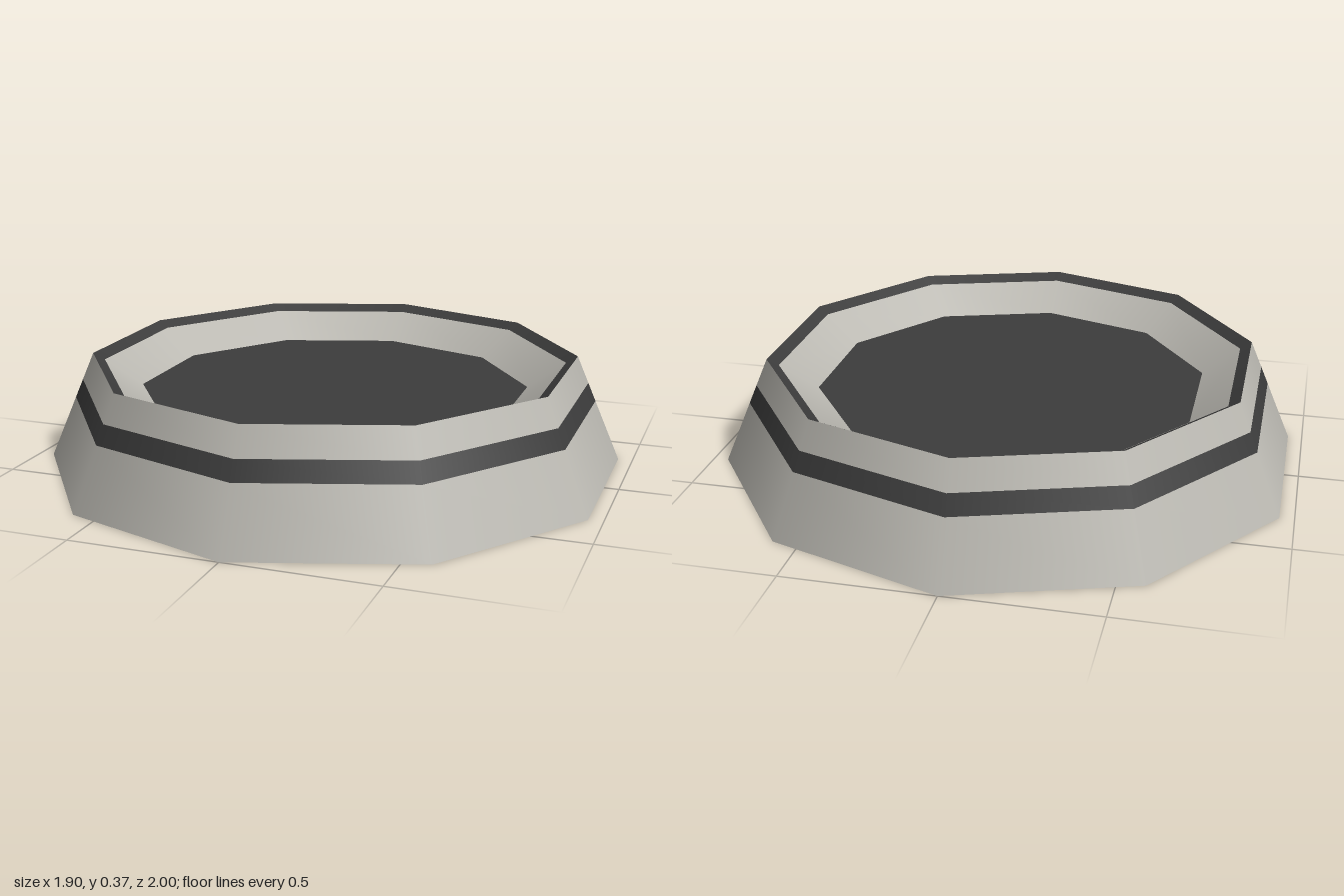
import * as THREE from 'three';

const SIDES = 10;

export function createModel() {
  const model = new THREE.Group();
  model.name = 'bowl';

  const grey = new THREE.MeshStandardMaterial({ color: 0xbbb9b2, side: THREE.DoubleSide });
  grey.name = 'warm grey';
  const dark = new THREE.MeshStandardMaterial({ color: 0x3c3c3c, side: THREE.DoubleSide });
  dark.name = 'charcoal';

  // One ten-sided conical band between two [radius, height] points
  function band(name, material, from, to) {
    const points = [from, to].map(([r, y]) => new THREE.Vector2(r, y));
    const mesh = new THREE.Mesh(new THREE.LatheGeometry(points, SIDES), material);
    mesh.name = name;
    model.add(mesh);
  }

  // Sloping outer wall with a stripe
  const slope = (y) => [1 - (0.16 * y) / 0.373, y];
  band('outerWallLower', grey, slope(0), slope(0.213));
  band('outerStripe', dark, slope(0.213), slope(0.278));
  band('outerWallUpper', grey, slope(0.278), slope(0.373));

  // Inside: dark lip, then the wall going down to the floor
  band('innerLip', dark, [0.84, 0.373], [0.8, 0.35]);
  band('innerWall', grey, [0.8, 0.35], [0.67, 0.262]);

  // Bowl floor
  const floorShape = new THREE.CircleGeometry(0.67, SIDES, Math.PI / 2);
  floorShape.rotateX(-Math.PI / 2);
  const floor = new THREE.Mesh(floorShape, dark);
  floor.name = 'bowlFloor';
  floor.position.y = 0.262;
  model.add(floor);

  return model;
}
